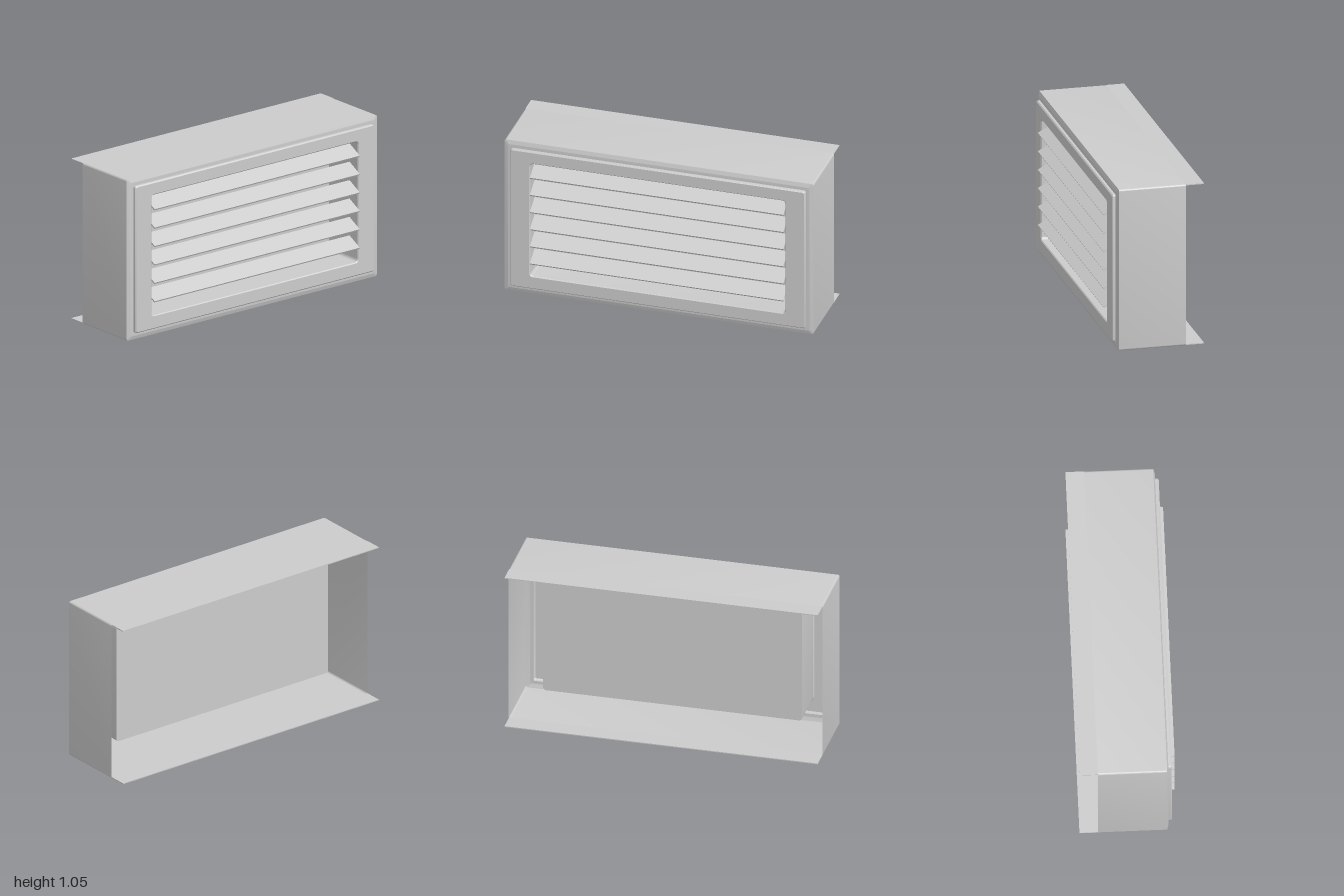
import * as THREE from 'three';
import { toCreasedNormals } from 'three/addons/utils/BufferGeometryUtils.js';

const material = new THREE.MeshStandardMaterial({ color: 0xcccccc, side: THREE.DoubleSide });
const H = 1.05; // overall height
const CORNER_STEPS = 6;

// Rounded rectangle standing in the y-z plane at x, counter-clockwise seen from +x
function ring({ x, y0, y1, z, r }) {
  const points = [];
  for (let q = 0; q < 4; q++) {
    const right = q === 0 || q === 3, up = q < 2;
    const cz = right ? -(z - r) : z - r;
    const cy = up ? y1 - r : y0 + r;
    for (let s = 0; s <= CORNER_STEPS; s++) {
      const a = (q + s / CORNER_STEPS) * Math.PI / 2;
      points.push([x, cy + r * Math.sin(a), cz - r * Math.cos(a)]);
    }
  }
  return points;
}

// Skin through a series of rings, optionally closing the last one
function loft(sections, closeEnd = false) {
  const rings = sections.map(ring);
  const pos = [];
  const n = rings[0].length;
  for (let i = 0; i < rings.length - 1; i++) {
    for (let j = 0; j < n; j++) {
      const k = (j + 1) % n;
      const a = rings[i][j], b = rings[i][k], c = rings[i + 1][k], d = rings[i + 1][j];
      pos.push(...a, ...b, ...c, ...a, ...c, ...d);
    }
  }
  if (closeEnd) {
    const last = rings[rings.length - 1];
    for (let j = 1; j < n - 1; j++) pos.push(...last[0], ...last[j], ...last[j + 1]);
  }
  const geometry = new THREE.BufferGeometry();
  geometry.setAttribute('position', new THREE.Float32BufferAttribute(pos, 3));
  return toCreasedNormals(geometry, 0.3);
}

// Section inset from the outer casing
const casing = (x, inset, r) => ({ x, y0: inset, y1: H - inset, z: 1 - inset, r });
// Section around the louvre opening
const opening = (x, grow = 0) => ({ x, y0: 0.135 - grow, y1: 0.92 + grow, z: 0.825 + grow, r: 0.02 + grow });

export function createModel() {
  const group = new THREE.Group();
  const add = (name, geometry, x = 0, y = 0, z = 0) => {
    const mesh = new THREE.Mesh(geometry, material);
    mesh.name = name;
    mesh.position.set(x, y, z);
    group.add(mesh);
    return mesh;
  };

  // Open-backed sheet casing with a chamfered front edge
  add('casing', loft([
    casing(-0.185, 0, 0.012),
    casing(0.243, 0, 0.012),
    casing(0.252, 0.025, 0.01),
    casing(0.252, 0.046, 0.012),
  ]));

  // Raised frame around the opening
  add('frontFrame', loft([
    casing(0.252, 0.046, 0.014),
    casing(0.268, 0.046, 0.014),
    casing(0.275, 0.053, 0.01),
    opening(0.275, 0.006),
    opening(0.269),
  ]));

  // Closed recess behind the louvres
  add('recess', loft([opening(0.269), opening(-0.01)], true));

  // Top and bottom sheets extend past the back of the side walls
  for (const [name, y] of [['topFlange', H - 0.004], ['bottomFlange', 0.006]]) {
    add(name, new THREE.BoxGeometry(0.117, 0.006, 1.996), -0.2415, y, 0);
  }

  // Slanted louvre blades, outer edge low
  const depth = 0.1, rise = 0.055;
  const blade = new THREE.BoxGeometry(Math.hypot(depth, rise), 0.01, 1.64);
  for (let i = 0; i < 6; i++) {
    const mesh = add('louvre', blade, 0.244, 0.258 + i * 0.12, 0);
    mesh.rotation.z = -Math.atan2(rise, depth);
  }

  return group;
}
